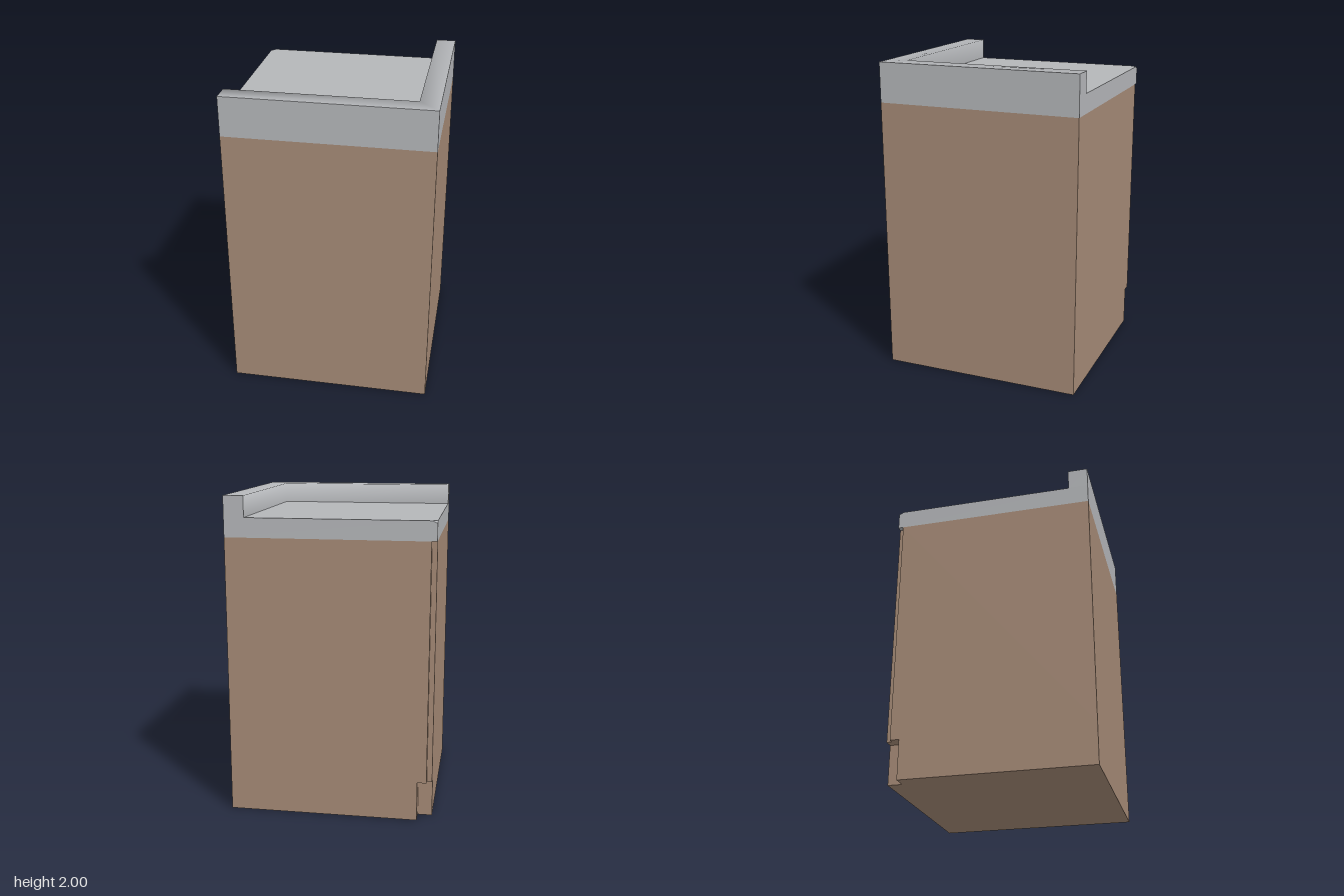
import * as THREE from 'three';
import { ConvexGeometry } from 'three/addons/geometries/ConvexGeometry.js';

const H = 0.64;        // half width
const INNER = 0.515;   // inner face of the raised rim
const BASE = 1.75, TOP = 1.87, RIM = 2;

const brown = new THREE.MeshStandardMaterial({ color: 0xa58a76 });
brown.name = 'brown wood';
const grey = new THREE.MeshStandardMaterial({ color: 0xb4b6b9 });
grey.name = 'grey stone';

// Square block with a square notch cut from its back corner
function notchedBlock(notch, y0, y1) {
  const n = H - notch;
  const shape = new THREE.Shape([
    [-H, -H], [H, -H], [H, H], [-n, H], [-n, n], [-H, n],
  ].map(([x, y]) => new THREE.Vector2(x, y)));
  return new THREE.ExtrudeGeometry(shape, { depth: y1 - y0, bevelEnabled: false })
    .rotateX(-Math.PI / 2)
    .translate(0, y0, 0);
}

// Sweep of [offset, height] points along the front and left sides
function cornerStrip(profile, smooth) {
  const pos = [], idx = [];
  for (const [d, y] of profile) pos.push(-H, y, d, d, y, d, d, y, -H);
  for (let r = 0; r < profile.length - 1; r++) {
    for (let s = 0; s < 2; s++) {
      const a = r * 3 + s, b = a + 1, c = b + 3, e = a + 3;
      idx.push(a, b, c, a, c, e);
    }
  }
  let g = new THREE.BufferGeometry();
  g.setAttribute('position', new THREE.Float32BufferAttribute(pos, 3));
  g.setIndex(idx);
  if (!smooth) g = g.toNonIndexed();
  g.computeVertexNormals();
  return g;
}

export function createModel() {
  const model = new THREE.Group();
  model.name = 'cornerCounter';
  const add = (name, geometry, material) => {
    const mesh = new THREE.Mesh(geometry, material);
    mesh.name = name;
    model.add(mesh);
  };

  // Cabinet: larger notch at the foot, narrow notch above
  add('cabinetFoot', notchedBlock(0.09, 0, 0.25), brown);
  add('cabinetBody', notchedBlock(0.033, 0.25, BASE), brown);

  // Worktop slab with a slightly chipped back corner
  const points = [];
  for (const x of [-H, H]) for (const z of [-H, H]) {
    points.push(new THREE.Vector3(x, BASE, z));
    if (x > 0 || z > 0) points.push(new THREE.Vector3(x, TOP, z));
  }
  points.push(
    new THREE.Vector3(-H + 0.03, TOP, -H),
    new THREE.Vector3(-H, TOP, -H + 0.03),
    new THREE.Vector3(-H, TOP - 0.015, -H),
  );
  add('worktop', new ConvexGeometry(points), grey);

  // Raised rim: flat outside, softened top and inside, closed ends
  add('rimOutside', cornerStrip([[H, TOP], [H, RIM]], false), grey);
  add('rimInside', cornerStrip([[H, RIM], [INNER, RIM], [INNER, TOP]], true), grey);
  const mid = (H + INNER) / 2, midY = (TOP + RIM) / 2;
  const end = () => new THREE.PlaneGeometry(H - INNER, RIM - TOP);
  add('rimEndBack', end().rotateY(Math.PI).translate(mid, midY, -H), grey);
  add('rimEndRight', end().rotateY(-Math.PI / 2).translate(-H, midY, mid), grey);

  return model;
}
